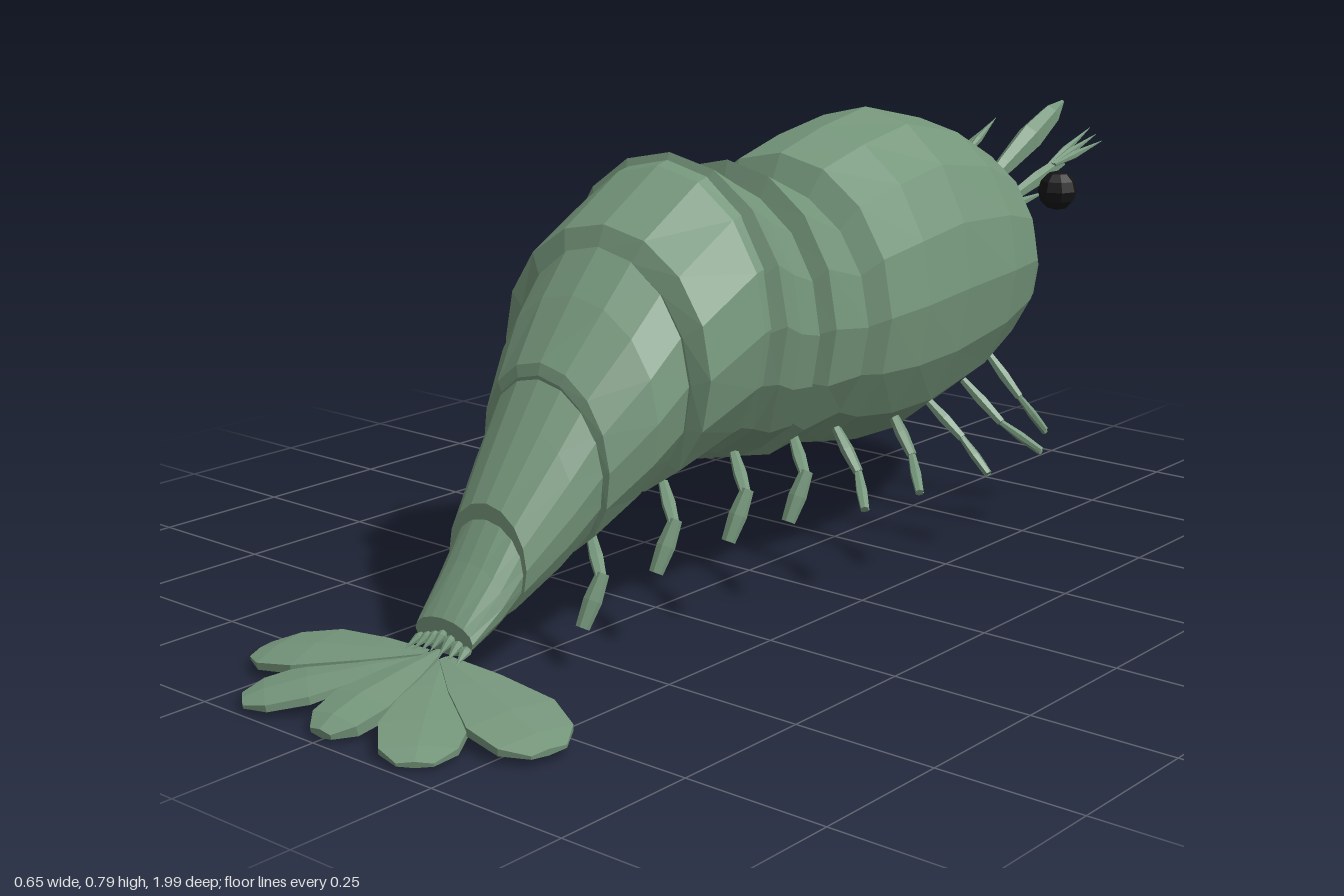
import * as THREE from 'three';

const shell = new THREE.MeshStandardMaterial({ color: 0x75967b, flatShading: true, side: THREE.DoubleSide });
shell.name = 'shellGreen';
const black = new THREE.MeshStandardMaterial({ color: 0x151517, flatShading: true });
black.name = 'eyeBlack';

const V = (p) => new THREE.Vector3(...p);

// Skin a list of rings (equal point counts) and close both ends
function loft(rings) {
  const n = rings[0].length, pos = [], index = [];
  rings.forEach((r) => r.forEach((p) => pos.push(p.x, p.y, p.z)));
  const centre = (r) => {
    const c = new THREE.Vector3();
    r.forEach((p) => c.add(p));
    c.divideScalar(n);
    pos.push(c.x, c.y, c.z);
    return pos.length / 3 - 1;
  };
  const first = centre(rings[0]), last = centre(rings[rings.length - 1]);
  const end = (rings.length - 1) * n;
  for (let k = 0; k < n; k++) {
    const k2 = (k + 1) % n;
    for (let i = 0; i < rings.length - 1; i++) {
      const a = i * n + k, b = i * n + k2;
      index.push(a, a + n, b, b, a + n, b + n);
    }
    index.push(first, k, k2, last, end + k2, end + k);
  }
  const g = new THREE.BufferGeometry();
  g.setAttribute('position', new THREE.Float32BufferAttribute(pos, 3));
  g.setIndex(index);
  const flat = g.toNonIndexed();
  flat.computeVertexNormals();
  return flat;
}

function add(parent, name, geometry, material = shell) {
  const m = new THREE.Mesh(geometry, material);
  m.name = name;
  parent.add(m);
  return m;
}

// Oval body rings: [top z, top y, bottom z, bottom y, half width]
function bodyShell(rows) {
  return loft(rows.map(([zt, yt, zb, yb, w]) => {
    const ring = [];
    for (let k = 0; k < 16; k++) {
      const a = (k / 16) * Math.PI * 2, t = (1 - Math.cos(a)) / 2;
      ring.push(new THREE.Vector3(w * Math.sin(a), yt + (yb - yt) * t, zt + (zb - zt) * t));
    }
    return ring;
  }));
}

// Tapering blade from a to b; profile rows are [distance, width share]
const LEAF = [[0, 0.2], [0.3, 0.7], [0.6, 1], [0.85, 0.75], [1, 0.12]];
const SPIKE = [[0, 0.5], [0.4, 1], [1, 0.06]];
const LIMB = [[0, 0.7], [0.5, 1], [1, 0.75]];
const FAN = [[0, 0.12], [0.3, 0.6], [0.65, 1], [0.88, 0.85], [1, 0.4]];
function blade(a, b, w, h, profile, up = [0, 1, 0], sides = 6) {
  const A = V(a), B = V(b), d = B.clone().sub(A).normalize();
  const s = V(up).cross(d).normalize(), u = d.clone().cross(s);
  return loft(profile.map(([t, k]) => {
    const c = A.clone().lerp(B, t), ring = [];
    for (let i = 0; i < sides; i++) {
      const q = (i / sides) * Math.PI * 2 + Math.PI / 2 - Math.PI / 2;
      ring.push(c.clone().addScaledVector(s, Math.sin(q) * w * k).addScaledVector(u, Math.cos(q) * h * k));
    }
    return ring;
  }));
}

export function createModel() {
  const model = new THREE.Group();
  model.name = 'shrimp';

  // Carapace, blunt at the face and lipped at the rear
  add(model, 'carapace', bodyShell([
    [-0.785, 0.5, -0.79, 0.39, 0.03],
    [-0.762, 0.54, -0.765, 0.34, 0.085],
    [-0.72, 0.61, -0.72, 0.31, 0.13],
    [-0.64, 0.69, -0.64, 0.285, 0.178],
    [-0.5, 0.757, -0.5, 0.235, 0.222],
    [-0.33, 0.795, -0.3, 0.195, 0.245],
    [-0.2, 0.772, -0.18, 0.2, 0.248],
    [-0.085, 0.74, -0.085, 0.22, 0.243],
    [-0.06, 0.69, -0.06, 0.24, 0.21],
  ]));

  // Overlapping abdomen rings
  [
    [[-0.07, 0.685, -0.07, 0.24, 0.21], [0.058, 0.745, 0.055, 0.225, 0.233], [0.07, 0.7, 0.07, 0.25, 0.205]],
    [[0.055, 0.7, 0.06, 0.24, 0.205], [0.14, 0.742, 0.14, 0.24, 0.225], [0.205, 0.775, 0.2, 0.26, 0.246], [0.22, 0.74, 0.22, 0.27, 0.22]],
    [[0.2, 0.765, 0.2, 0.265, 0.222], [0.235, 0.757, 0.235, 0.262, 0.226], [0.365, 0.678, 0.37, 0.235, 0.225], [0.38, 0.64, 0.37, 0.25, 0.19]],
    [[0.355, 0.67, 0.355, 0.25, 0.19], [0.44, 0.575, 0.43, 0.21, 0.175], [0.515, 0.48, 0.5, 0.165, 0.138], [0.52, 0.46, 0.5, 0.18, 0.12]],
    [[0.505, 0.475, 0.49, 0.18, 0.128], [0.56, 0.395, 0.56, 0.135, 0.112], [0.64, 0.28, 0.64, 0.095, 0.085], [0.64, 0.265, 0.64, 0.11, 0.075]],
    [[0.615, 0.29, 0.63, 0.105, 0.08], [0.68, 0.195, 0.68, 0.08, 0.073], [0.738, 0.12, 0.735, 0.062, 0.063]],
  ].forEach((rows, i) => add(model, `abdomenRing${i + 1}`, bodyShell(rows)));

  // Rostrum
  add(model, 'rostrum', blade([0, 0.585, -0.7], [0, 0.737, -1], 0.024, 0.03, LEAF));

  for (const s of [1, -1]) {
    const side = new THREE.Group();
    side.name = s > 0 ? 'leftSide' : 'rightSide';
    model.add(side);

    // Eye
    const eye = add(side, 'eye', new THREE.SphereGeometry(0.037, 8, 6), black);
    eye.position.set(s * 0.217, 0.625, -0.64);

    // Antenna with forked tip, and a short antennule below it
    add(side, 'antennaBase', blade([s * 0.08, 0.59, -0.7], [s * 0.105, 0.645, -0.83], 0.014, 0.016, LIMB));
    for (const f of [-1, 0, 1]) {
      add(side, 'antennaTip', blade([s * (0.104 + f * 0.006), 0.643, -0.8],
        [s * (0.125 + f * 0.014), 0.69 - f * 0.012, -0.925], 0.008, 0.008, SPIKE));
    }
    add(side, 'antennule', blade([s * 0.045, 0.56, -0.74], [s * 0.065, 0.58, -0.845], 0.008, 0.008, SPIKE));

    // Mouth bristles
    for (let i = 0; i < 5; i++) {
      const y = 0.54 - i * 0.042;
      add(side, 'mouthBristle', blade([s * (0.04 - i * 0.004), y, -0.755],
        [s * 0.025, y - 0.012, i === 0 ? -0.83 : -0.803], 0.008, 0.008, SPIKE));
    }

    // Walking legs: [hip, knee, foot], each with a forked foot
    [
      [[0.1, 0.3, -0.6], [0.165, 0.225, -0.61], [0.2, 0.155, -0.65]],
      [[0.13, 0.28, -0.47], [0.21, 0.21, -0.48], [0.27, 0.155, -0.525]],
      [[0.14, 0.27, -0.34], [0.215, 0.21, -0.345], [0.27, 0.15, -0.35]],
      [[0.14, 0.27, -0.23], [0.2, 0.205, -0.21], [0.25, 0.155, -0.165]],
      [[0.13, 0.27, -0.08], [0.19, 0.205, -0.065], [0.235, 0.155, -0.025]],
    ].forEach(([hip, knee, foot]) => {
      const m = ([x, y, z]) => [s * x, y, z];
      add(side, 'legUpper', blade(m(hip), m(knee), 0.012, 0.011, LIMB));
      for (const f of [-1, 1]) {
        const tip = [foot[0] + f * 0.008, foot[1] + f * 0.006, foot[2] + f * 0.012];
        add(side, 'legFoot', blade(m(knee), m(tip), 0.01, 0.008, LIMB));
      }
    });

    // Swimming legs: a short stalk and a flat paddle
    [[0.055, 0.18, 0.25], [0.2, 0.17, 0.25], [0.35, 0.145, 0.23], [0.49, 0.115, 0.17]].forEach(([z, x, y]) => {
      add(side, 'swimStalk', blade([s * (x - 0.055), y + 0.03, z - 0.02], [s * x, y - 0.025, z + 0.015], 0.012, 0.01, LIMB));
      add(side, 'swimPaddle', blade([s * x, y - 0.015, z + 0.012], [s * (x - 0.005), y - 0.095, z + 0.055], 0.018, 0.01, LIMB, [0, 0, 1]));
    });

    // Side lobes of the tail fan
    add(side, 'tailOuterLobe', blade([s * 0.02, 0.066, 0.755], [s * 0.318, 0.02, 0.835], 0.085, 0.014, FAN, [s * 0.12, 1, 0.1]));
    add(side, 'tailInnerLobe', blade([s * 0.015, 0.062, 0.755], [s * 0.19, 0.012, 0.975], 0.078, 0.013, FAN));
  }

  // Middle lobe of the tail fan and the little teeth at its root
  add(model, 'tailMiddleLobe', blade([0, 0.07, 0.745], [0, 0.012, 0.985], 0.065, 0.02, FAN));
  for (let i = -3; i <= 3; i++) {
    add(model, 'tailTooth', blade([i * 0.016, 0.105 - Math.abs(i) * 0.006, 0.725],
      [i * 0.019, 0.075 - Math.abs(i) * 0.003, 0.765], 0.01, 0.006, SPIKE));
  }
  return model;
}
